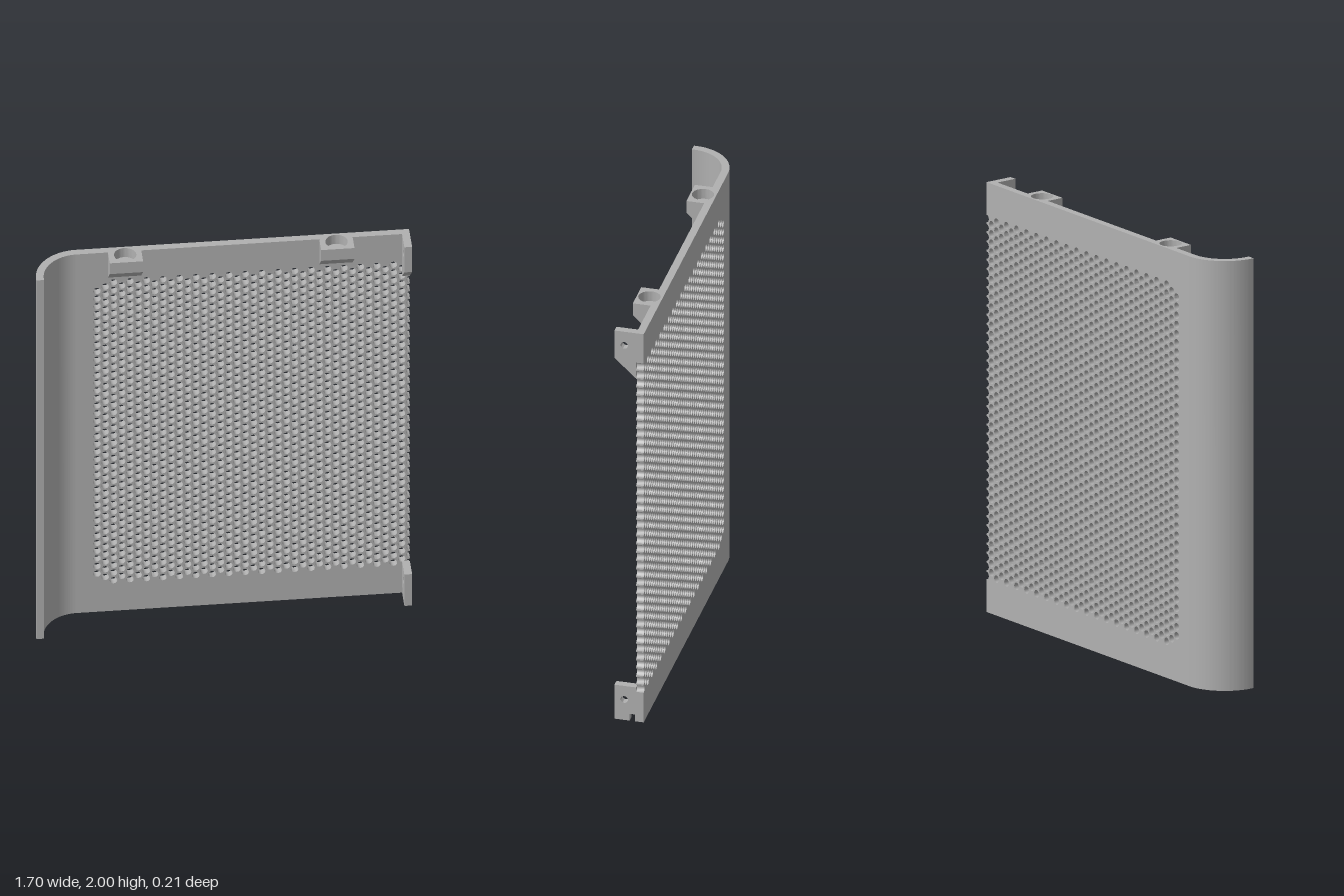
import * as THREE from 'three';
import { toCreasedNormals } from 'three/addons/utils/BufferGeometryUtils.js';

const RIGHT = 0.847, BEND = -0.65;      // flat panel ends in x
const BACK = -0.105, INNER = -0.07;     // panel faces in z
const SEAM = 1.95;                      // floor height of the round pockets
const PITCH = 0.0426, COL = 0.037, R = 0.0175, SIDES = 12;
const ROW0 = 0.17, ROWS = 40, COLS = 38;
const LUGS = [-0.435, 0.515], LUG_HALF = 0.075, LUG_FRONT = 0.012;

const V = (x, y) => new THREE.Vector2(x, y);

function extrude(shape, depth, curveSegments = 24) {
  return new THREE.ExtrudeGeometry(shape, { depth, curveSegments, bevelEnabled: false });
}

// Plan shape drawn as (x, -z), raised from y0 to y1
function raise(shape, y0, y1) {
  return extrude(shape, y1 - y0).rotateX(-Math.PI / 2).translate(0, y0, 0);
}

// Side profile drawn as (-z, y), extruded from x0 to x1
function sideways(shape, x0, x1) {
  return extrude(shape, x1 - x0).rotateY(Math.PI / 2).translate(x0, 0, 0);
}

function circlePath(x, y, r) {
  const path = new THREE.Path();
  path.absarc(x, y, r, 0, Math.PI * 2, true);
  return path;
}

// Points of a mesh hole between two angles
function arcPoints(x, y, from, to, steps) {
  return Array.from({ length: steps }, (_, i) => {
    const a = from + (to - from) * i / steps;
    return V(x + R * Math.cos(a), y + R * Math.sin(a));
  });
}

// Flat panel with staggered round holes and half holes along its right edge
function perforatedPanel() {
  const outline = [V(BEND, 0), V(RIGHT, 0)];
  for (let j = 0; j < ROWS; j++) {
    const y = ROW0 + j * PITCH;
    outline.push(...arcPoints(RIGHT, y, Math.PI * 1.5, Math.PI * 0.5, SIDES / 2), V(RIGHT, y + R));
  }
  outline.push(V(RIGHT, SEAM), V(BEND, SEAM));
  const shape = new THREE.Shape(outline);
  for (let c = 0; c < COLS; c++) {
    const odd = c % 2;
    for (let j = 0; j < ROWS - odd; j++) {
      if (c === 0 && (j === 0 || j === ROWS - 1)) continue; // clipped corners
      const x = RIGHT - (COLS - c) * COL, y = ROW0 + (j + odd / 2) * PITCH;
      shape.holes.push(new THREE.Path(arcPoints(x, y, 0, Math.PI * 2, SIDES)));
    }
  }
  return extrude(shape, INNER - BACK).translate(0, 0, BACK);
}

// Quarter-round side wall
function curvedWall() {
  const s = new THREE.Shape(), cy = -0.095, end = -0.105;
  s.moveTo(BEND, -BACK);
  s.absarc(BEND, cy, 0.2, Math.PI / 2, Math.PI, false);
  s.lineTo(BEND - 0.2, end);
  s.lineTo(BEND - 0.165, end);
  s.absarc(BEND, cy, 0.165, Math.PI, Math.PI / 2, true);
  return raise(s, 0, 2);
}

// Top strip of the panel joined to the lugs, with round pockets cut in
function topStrip() {
  const s = new THREE.Shape();
  s.moveTo(BEND, -BACK);
  s.lineTo(BEND, -INNER);
  for (const x of LUGS) {
    s.lineTo(x - LUG_HALF, -INNER);
    s.lineTo(x - LUG_HALF, -LUG_FRONT);
    s.lineTo(x + LUG_HALF, -LUG_FRONT);
    s.lineTo(x + LUG_HALF, -INNER);
    s.holes.push(circlePath(x, 0.045, 0.05));
  }
  s.lineTo(RIGHT, -INNER);
  s.lineTo(RIGHT, -BACK);
  return raise(s, SEAM, 2);
}

// Sloped underside of a lug
function lugBase(x) {
  const s = new THREE.Shape([V(-INNER, SEAM), V(-LUG_FRONT, SEAM), V(-LUG_FRONT, 1.94), V(-INNER, 1.86)]);
  return sideways(s, x - LUG_HALF, x + LUG_HALF);
}

// Edge bracket with a screw hole
function bracket(points, holeY) {
  const s = new THREE.Shape(points);
  s.holes.push(circlePath(0.015, holeY, 0.017));
  return sideways(s, RIGHT - 0.035, RIGHT);
}

export function createModel() {
  const group = new THREE.Group();
  const grey = new THREE.MeshStandardMaterial({ color: 0xb0b0b0 });
  grey.name = 'plainGrey';

  const add = (name, geometry) => {
    const mesh = new THREE.Mesh(toCreasedNormals(geometry, 0.6), grey);
    mesh.name = name;
    group.add(mesh);
  };

  add('perforatedPanel', perforatedPanel());
  add('curvedSideWall', curvedWall());
  add('topStripWithPockets', topStrip());
  LUGS.forEach((x, i) => add(i ? 'leftLugBase' : 'rightLugBase', lugBase(x)));

  add('topBracket', bracket([V(-INNER, 2), V(-0.03, 2), V(-0.03, 1.86), V(0.065, 1.77), V(-INNER, 1.77)], 1.93));
  // Lower bracket has a small square notch at its foot
  add('bottomBracket', bracket([
    V(-INNER, 0), V(-INNER, 0.175), V(-0.03, 0.175), V(-0.03, 0),
    V(0.04, 0), V(0.04, 0.035), V(0.065, 0.035), V(0.065, 0),
  ], 0.105));
  return group;
}
